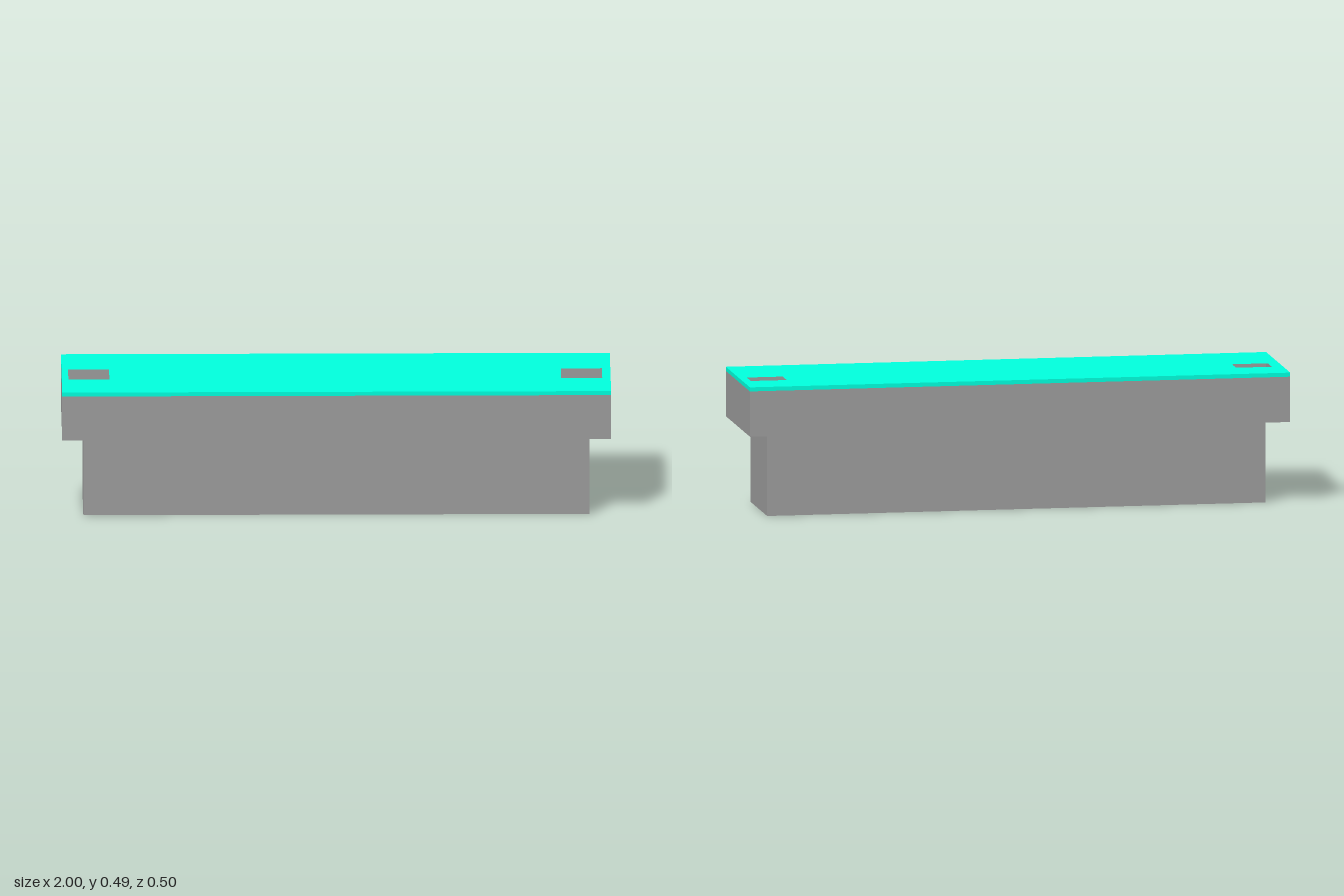
import * as THREE from 'three';

const LOWER_W = 1.845, LOWER_D = 0.346, LEDGE_Y = 0.306;
const UPPER_W = 2, UPPER_D = 0.5, LID_Y = 0.473, TOP_Y = 0.488;

const metal = new THREE.MeshStandardMaterial({ color: 0x9c9c9c, side: THREE.DoubleSide });
const lidPaint = new THREE.MeshStandardMaterial({ color: 0x00ffdd, side: THREE.DoubleSide });

// rectangle outline from corner to corner
function rect(Type, x0, y0, x1, y1) {
  return new Type([[x0, y0], [x1, y0], [x1, y1], [x0, y1]].map(([x, y]) => new THREE.Vector2(x, y)));
}

// level sheet of the upper body's size, pierced by the given openings
function plate(y, holes) {
  const shape = rect(THREE.Shape, -UPPER_W / 2, -UPPER_D / 2, UPPER_W / 2, UPPER_D / 2);
  shape.holes.push(...holes);
  return new THREE.ShapeGeometry(shape).rotateX(-Math.PI / 2).translate(0, y, 0);
}

// thin-walled box, keeping only the chosen sides (+x, -x, +y, -y, +z, -z = 0..5)
function shell(w, d, y0, y1, sides) {
  const geo = new THREE.BoxGeometry(w, y1 - y0, d).translate(0, (y0 + y1) / 2, 0);
  const index = Array.from(geo.index.array);
  geo.setIndex(sides.flatMap((s) => index.slice(s * 6, s * 6 + 6)));
  geo.clearGroups();
  return geo;
}

export function createModel() {
  const group = new THREE.Group();
  const add = (name, geo, mat) => {
    const mesh = new THREE.Mesh(geo, mat);
    mesh.name = name;
    group.add(mesh);
  };

  // deep lower bin, open at the top
  add('lowerBin', shell(LOWER_W, LOWER_D, 0, LEDGE_Y, [0, 1, 3, 4, 5]), metal);

  // wider upper body: four walls and a ledge around the bin opening
  add('upperWalls', shell(UPPER_W, UPPER_D, LEDGE_Y, LID_Y, [0, 1, 4, 5]), metal);
  const binOpening = rect(THREE.Path, -LOWER_W / 2, -LOWER_D / 2, LOWER_W / 2, LOWER_D / 2);
  add('ledge', plate(LEDGE_Y, [binOpening]), metal);

  // lid: two sheets joined by a rim, with a latch cutout near each end
  const cutouts = [-0.901, 0.895].map((x) => rect(THREE.Path, x - 0.075, -0.079, x + 0.075, 0.1));
  add('lidTop', plate(TOP_Y, cutouts), lidPaint);
  add('lidUnderside', plate(LID_Y, cutouts), lidPaint);
  add('lidRim', shell(UPPER_W, UPPER_D, LID_Y, TOP_Y, [0, 1, 4, 5]), lidPaint);

  return group;
}
